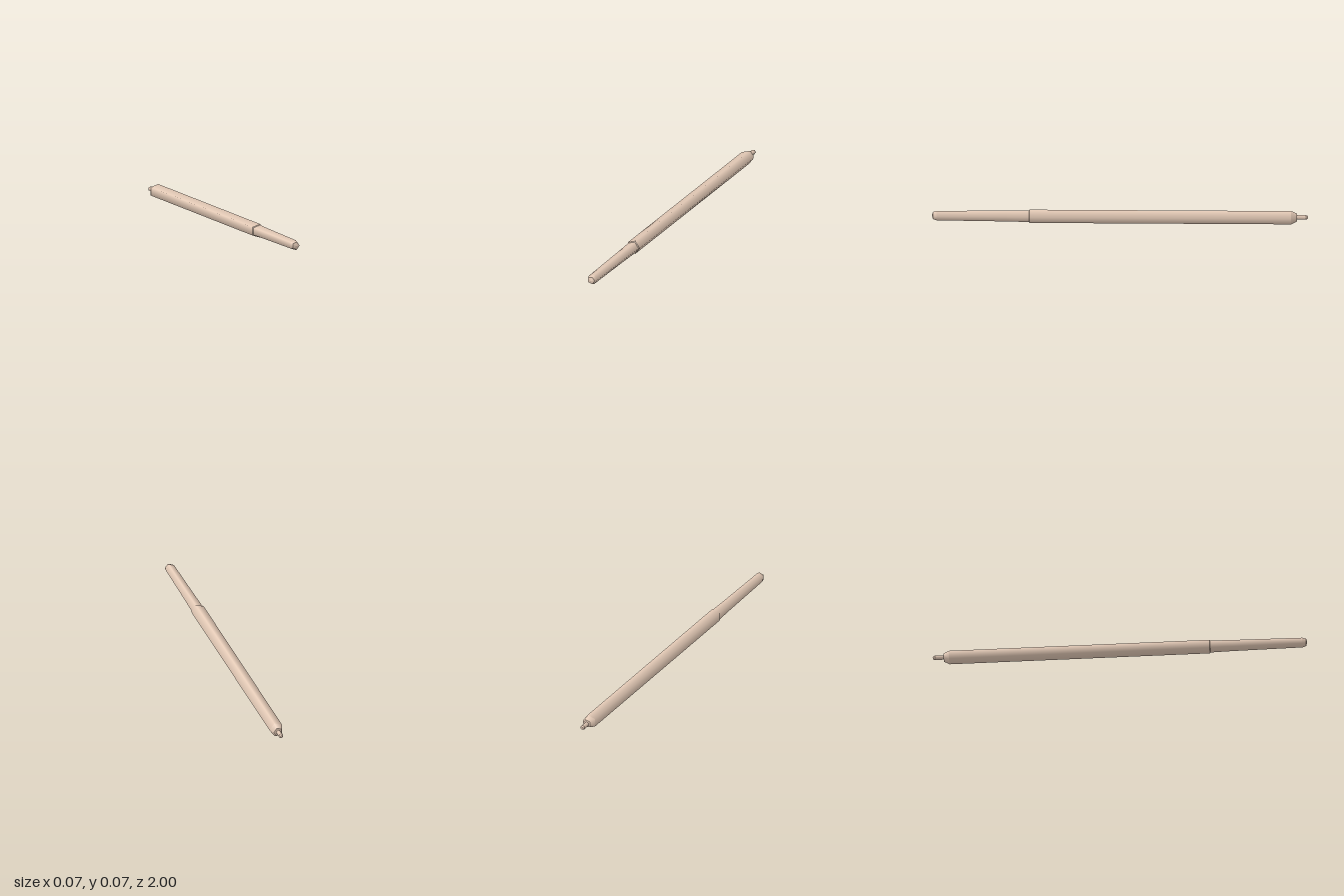
import * as THREE from 'three';

const SIDES = 5;
const R = 0.0385; // barrel radius

export function createModel() {
  const group = new THREE.Group();
  group.name = 'pen';
  const skin = new THREE.MeshStandardMaterial({ color: 0xe6ccb8, side: THREE.DoubleSide });

  // Five-sided sleeves along z through [z, radius] stations, smooth around, creased along the length
  function addPart(name, stations) {
    const part = new THREE.Group();
    part.name = name;
    for (let i = 0; i < stations.length - 1; i++) {
      const [z0, r0] = stations[i];
      const [z1, r1] = stations[i + 1];
      const geo = new THREE.CylinderGeometry(r1, r0, z1 - z0, SIDES, 1, true, Math.PI / 2);
      geo.rotateX(Math.PI / 2);
      geo.translate(0, 0, (z0 + z1) / 2);
      const mesh = new THREE.Mesh(geo, skin);
      mesh.name = name + 'Section' + (i + 1);
      part.add(mesh);
    }
    group.add(part);
  }

  // Push button at the back
  addPart('button', [[-1, 0], [-0.998, 0.008], [-0.988, 0.0135], [-0.975, 0.0125], [-0.935, 0.0125]]);
  // Bevelled shoulder around the button
  addPart('shoulder', [[-0.941, 0.0125], [-0.94, 0.024], [-0.91, R]]);
  // Long barrel
  addPart('barrel', [[-0.91, R], [0.48, R], [0.484, 0.034]]);
  // Tapered grip
  addPart('grip', [[0.48, 0.034], [0.6, 0.0315], [0.975, 0.0275]]);
  // Blunt tip
  addPart('tip', [[0.975, 0.0275], [0.994, 0.021], [1, 0]]);

  // Centre the pentagon's bounds and rest it on the ground
  group.children.forEach((part) => part.position.set(-0.0037, R * Math.sin(Math.PI * 0.4), 0));
  return group;
}
